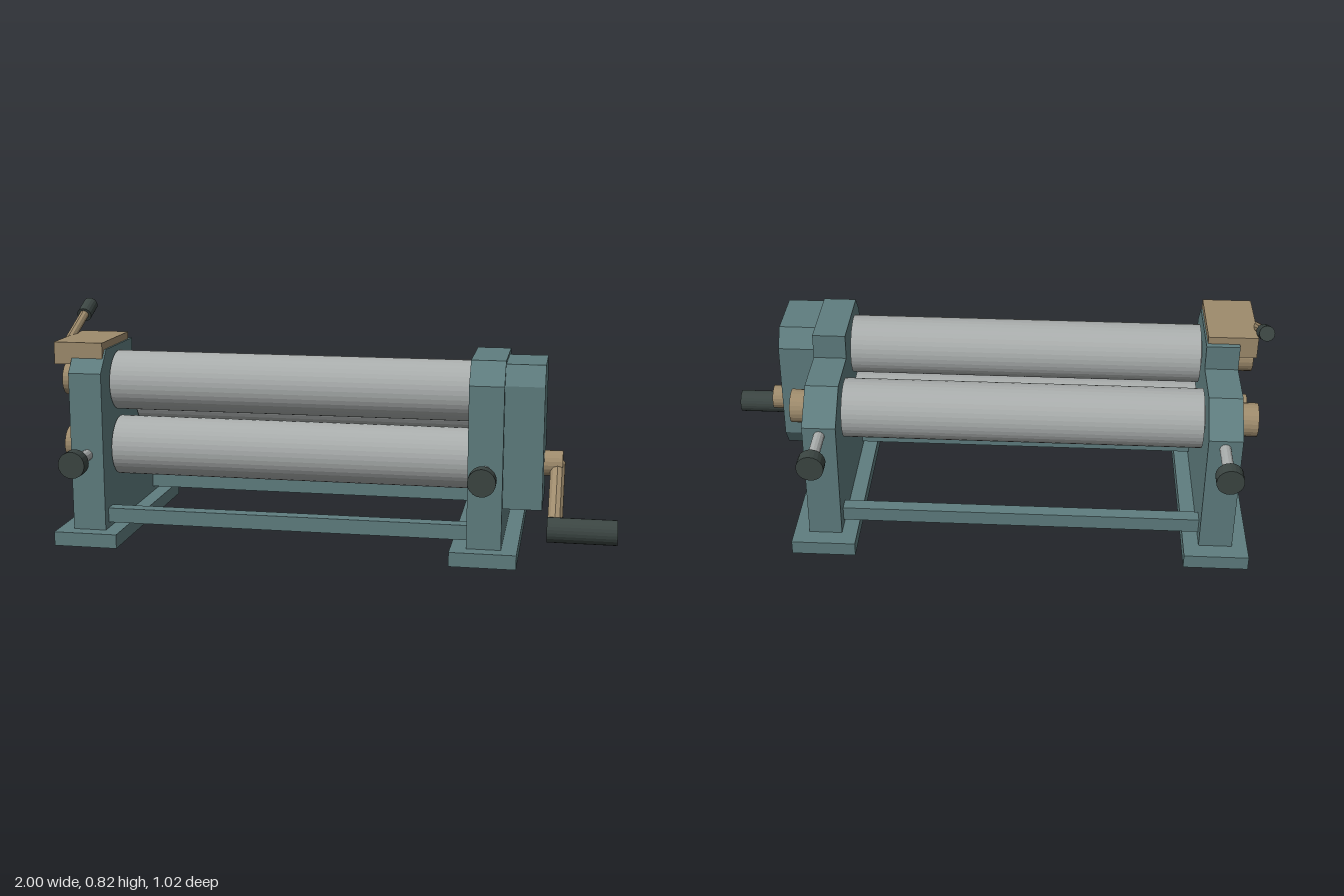
import * as THREE from 'three';

export function createModel() {
  const model = new THREE.Group();
  const paint = (color) => new THREE.MeshStandardMaterial({ color, flatShading: true });
  const teal = paint(0x5f7d7f);
  const brass = paint(0x9e8b6c);
  const steel = paint(0xa9adac);
  const dark = paint(0x3b4542);

  function add(name, geometry, material) {
    const mesh = new THREE.Mesh(geometry, material);
    mesh.name = name;
    model.add(mesh);
    return mesh;
  }

  // Box given by its minimum and maximum corners
  function box(name, a, b, material) {
    const geometry = new THREE.BoxGeometry(b[0] - a[0], b[1] - a[1], b[2] - a[2]);
    geometry.translate((a[0] + b[0]) / 2, (a[1] + b[1]) / 2, (a[2] + b[2]) / 2);
    return add(name, geometry, material);
  }

  // Round bar between two points
  function rod(name, a, b, radius, material, sides = 20) {
    const from = new THREE.Vector3(...a);
    const to = new THREE.Vector3(...b);
    const mesh = add(name, new THREE.CylinderGeometry(radius, radius, from.distanceTo(to), sides), material);
    mesh.position.copy(from).lerp(to, 0.5);
    mesh.quaternion.setFromUnitVectors(new THREE.Vector3(0, 1, 0), to.sub(from).normalize());
    return mesh;
  }

  // Side profile of [z, y] points, extruded from x0 to x1
  function plate(name, profile, x0, x1, material) {
    const shape = new THREE.Shape(profile.map(([z, y]) => new THREE.Vector2(-z, y)));
    const geometry = new THREE.ExtrudeGeometry(shape, { depth: x1 - x0, bevelEnabled: false });
    geometry.rotateY(Math.PI / 2).translate(x0, 0, 0);
    return add(name, geometry, material);
  }

  // End frames on their feet, each with a front and a rear adjusting screw
  const frameProfile = [[0.35, 0.05], [0.35, 0.613], [0.285, 0.69], [0, 0.69],
    [0, 0.6], [-0.197, 0.6], [-0.308, 0.495], [-0.308, 0.05]];
  for (const [side, x] of [['left', 0.557], ['right', -0.843]]) {
    plate(side + 'Frame', frameProfile, x - 0.059, x + 0.059, teal);
    box(side + 'Foot', [x - 0.114, 0, -0.373], [x + 0.114, 0.05, 0.402], teal);
    for (const [end, y, z0, z1, z2] of [
      ['Front', 0.322, 0.34, 0.464, 0.51],
      ['Rear', 0.463, -0.3, -0.46, -0.508],
    ]) {
      rod(side + end + 'Screw', [x, y, z0], [x, y, z1], 0.02, steel, 12);
      rod(side + end + 'ScrewKnob', [x, y, z1], [x, y, z2], 0.047, dark);
    }
  }

  // Tie bars
  box('frontTieBar', [-0.79, 0.07, 0.265], [0.505, 0.122, 0.315], teal);
  box('rearTieBar', [-0.79, 0.07, -0.255], [0.505, 0.122, -0.205], teal);

  // Rollers with journals, and bushings on the outer face of the frame
  for (const [name, y, z] of [['upper', 0.565, 0.174], ['lower', 0.326, 0.174], ['rear', 0.463, -0.111]]) {
    rod(name + 'Roller', [-0.777, y, z], [0.493, y, z], 0.106, steel, 40);
    rod(name + 'Journal', [-0.85, y, z], [0.56, y, z], 0.055, steel, 24);
    rod(name + 'Bushing', [-0.97, y, z], [-0.89, y, z], 0.06, brass, 24);
  }
  rod('rearDriveBushing', [0.6, 0.463, -0.111], [0.684, 0.463, -0.111], 0.06, brass, 24);

  // Gear cover
  plate('gearCover', [[0.32, 0.188], [0.328, 0.612], [0.287, 0.68], [0.077, 0.68],
    [0.03, 0.615], [0.03, 0.255], [0.075, 0.188]], 0.61, 0.749, teal);

  // Hand crank
  rod('crankHub', [0.74, 0.321, 0.177], [0.812, 0.321, 0.177], 0.044, brass);
  rod('crankArm', [0.795, 0.321, 0.177], [0.795, 0.15, 0.414], 0.026, brass, 10);
  rod('crankHandle', [0.77, 0.15, 0.414], [1, 0.15, 0.414], 0.042, dark, 24);

  // Release latch and lever for the upper roller
  box('latchBlock', [-0.966, 0.638, 0.023], [-0.79, 0.716, 0.31], brass);
  rod('latchLever', [-0.973, 0.672, 0.2], [-0.973, 0.774, -0.03], 0.017, brass, 10);
  rod('latchLeverGrip', [-0.973, 0.768, -0.02], [-0.973, 0.8, -0.093], 0.027, dark, 16);

  return model;
}
